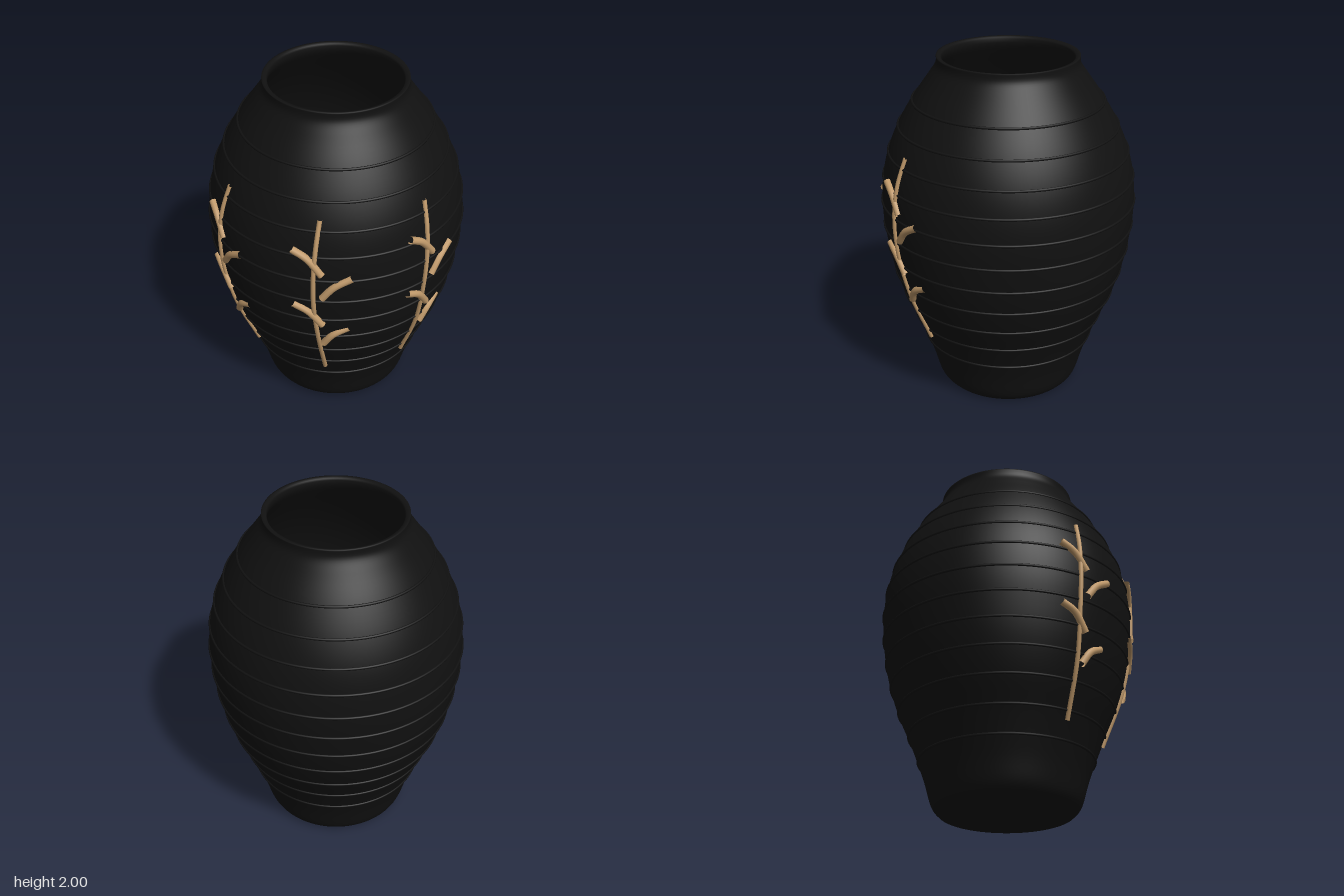
import * as THREE from 'three';

// Outer silhouette as [radius, height]
const PROFILE = [
  [0.38, 0], [0.42, 0.05], [0.465, 0.2], [0.54, 0.4], [0.625, 0.6], [0.685, 0.8], [0.718, 1.0],
  [0.728, 1.15], [0.718, 1.3], [0.685, 1.45], [0.625, 1.6], [0.54, 1.75], [0.45, 1.88], [0.405, 1.95], [0.4, 2],
];
const outer = new THREE.SplineCurve(PROFILE.map(([r, y]) => new THREE.Vector2(r, y))).getPoints(72);

// Radius of the body at height y
function radiusAt(y) {
  for (let i = 1; i < outer.length; i++) {
    const a = outer[i - 1], b = outer[i];
    if (y <= b.y) return THREE.MathUtils.mapLinear(y, a.y, b.y, a.x, b.x);
  }
  return outer[outer.length - 1].x;
}

// Point lying against the body: sideways offset x, height y, outward lift
function onBody(x, y, lift = 0) {
  const r = radiusAt(y) + lift, a = x / 0.72;
  return new THREE.Vector3(Math.sin(a) * r, y, Math.cos(a) * r);
}

function tube(name, points, radius, material, segments) {
  const curve = new THREE.CatmullRomCurve3(points.map((p) => onBody(...p)));
  const mesh = new THREE.Mesh(new THREE.TubeGeometry(curve, segments, radius, 10), material);
  mesh.name = name;
  return mesh;
}

export function createModel() {
  const glaze = new THREE.MeshStandardMaterial({ color: 0x111111, side: THREE.DoubleSide });
  glaze.name = 'black glaze';
  const wood = new THREE.MeshStandardMaterial({ color: 0xc19a6b, side: THREE.DoubleSide });
  wood.name = 'tan twig';

  const model = new THREE.Group();
  model.name = 'vase';
  model.position.z = -0.005;

  // Outer wall, rounded rim and inner wall down to a floor
  const wall = 0.03;
  const inner = outer.filter((p, i) => p.y > 0.05 && p.y < 1.99 && i % 2 === 0)
    .reverse().map((p) => new THREE.Vector2(p.x - wall, p.y));
  const bodyPoints = [
    ...outer, new THREE.Vector2(0.39, 2), new THREE.Vector2(0.375, 1.995),
    ...inner, new THREE.Vector2(0, 0.05),
  ];
  const body = new THREE.Mesh(new THREE.LatheGeometry(bodyPoints, 96), glaze);
  body.name = 'body';
  model.add(body);

  // Flat underside
  const base = new THREE.Mesh(new THREE.CircleGeometry(0.38, 96).rotateX(Math.PI / 2), glaze);
  base.name = 'base';
  model.add(base);

  // Thin raised rings at even heights
  for (let i = 0; i < 11; i++) {
    const y = 0.29 + i * 0.146;
    const ring = new THREE.Mesh(new THREE.TorusGeometry(radiusAt(y), 0.008, 8, 96).rotateX(Math.PI / 2), glaze);
    ring.name = 'ring';
    ring.position.y = y;
    model.add(ring);
  }

  // Three identical twigs with four curved leaves each
  const leaves = [
    [[-0.16, 1.35, 0.012], [-0.08, 1.305, 0.006], [0, 1.205, 0]],
    [[0, 1.05, 0.004], [0.065, 1.13, 0.002], [0.16, 1.185, 0.002]],
    [[-0.16, 0.98, 0.002], [-0.08, 0.94, 0.004], [0, 0.84, 0.008]],
    [[0, 0.67, 0.012], [0.06, 0.75, 0.002], [0.15, 0.795, -0.012]],
  ];
  for (const angle of [-0.9, 0, 0.9]) {
    const twig = new THREE.Group();
    twig.name = 'twig';
    twig.rotation.y = angle;
    twig.add(tube('stem', [
      [-0.008, 0.385, 0.006], [-0.03, 0.7, 0.004], [-0.046, 0.98, 0.004],
      [-0.043, 1.2, 0.004], [-0.032, 1.37, 0.004], [-0.015, 1.52, 0.004],
    ], 0.013, wood, 40));
    for (const points of leaves) twig.add(tube('leaf', points, 0.021, wood, 14));
    model.add(twig);
  }
  return model;
}
